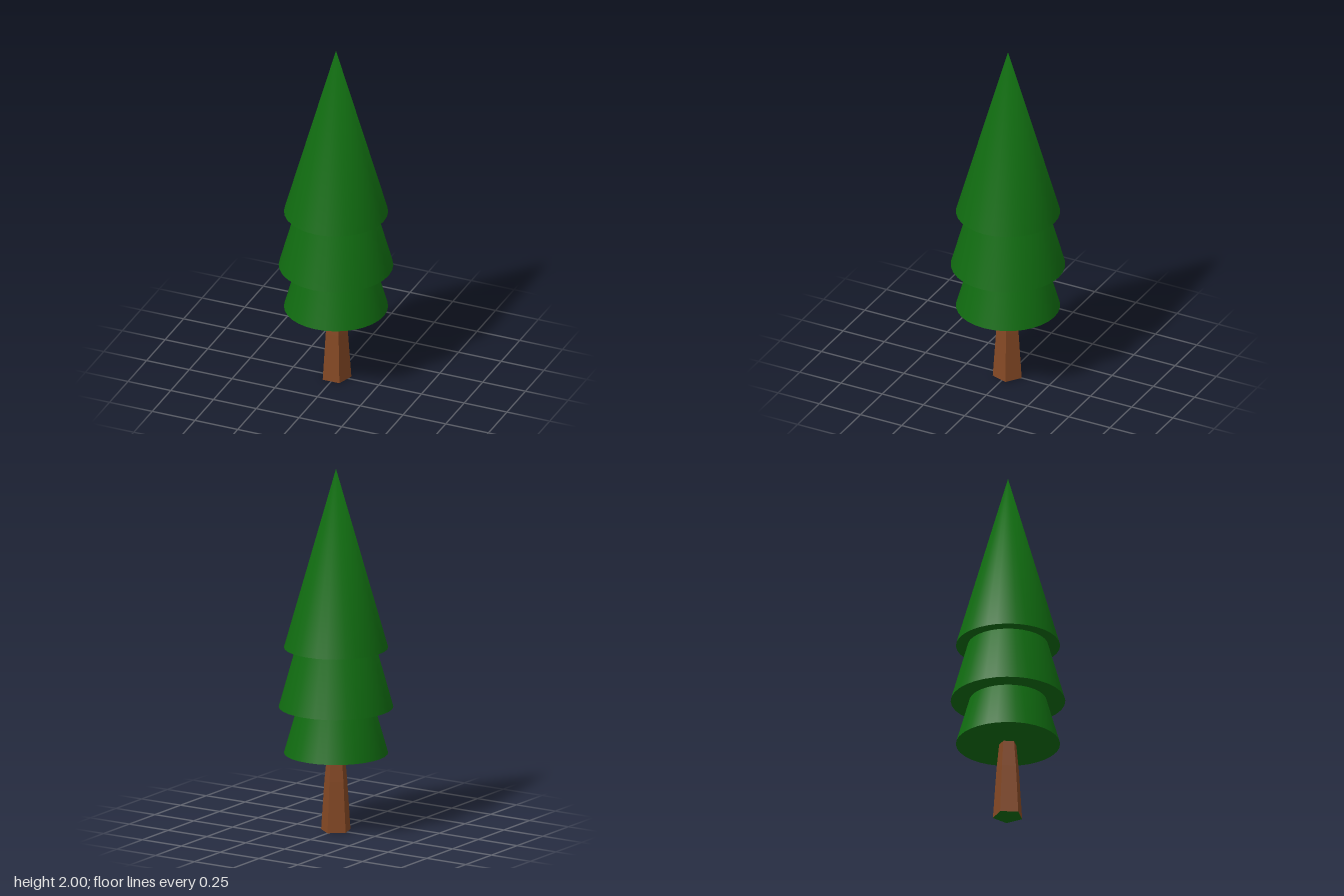
import * as THREE from 'three';

const green = new THREE.MeshStandardMaterial({ color: 0x106a10 });
green.name = 'needle green';
const brown = new THREE.MeshStandardMaterial({ color: 0x844824 });
brown.name = 'bark brown';

// Cone with a closed base; the tip normals point straight up for a rounded shade
function createTier(name, radius, baseY, height) {
  const geometry = new THREE.ConeGeometry(radius, height, 32);
  const { position, normal } = geometry.attributes;
  for (let i = 0; i < position.count; i++) {
    if (position.getY(i) > height / 2 - 1e-4) normal.setXYZ(i, 0, 1, 0);
  }
  const tier = new THREE.Mesh(geometry, green);
  tier.name = name;
  tier.position.y = baseY + height / 2;
  return tier;
}

// Five-sided, flat-faced trunk that narrows faster near the top
function createTrunk() {
  const trunk = new THREE.Group();
  trunk.name = 'trunk';
  const profile = [[0.083, 0], [0.064, 0.28], [0.048, 0.44]].map(([r, y]) => new THREE.Vector2(r, y));
  const sides = new THREE.LatheGeometry(profile, 5, Math.PI).toNonIndexed();
  sides.computeVertexNormals();
  const bark = new THREE.Mesh(sides, brown);
  bark.name = 'bark';

  const foot = new THREE.Mesh(new THREE.CircleGeometry(0.083, 5, -Math.PI / 2), green);
  foot.name = 'trunkFoot';
  foot.rotation.x = Math.PI / 2;
  trunk.add(bark, foot);
  return trunk;
}

export function createModel() {
  const tree = new THREE.Group();
  tree.name = 'pineTree';
  tree.add(
    createTrunk(),
    createTier('lowerTier', 0.28, 0.43, 0.985),
    createTier('middleTier', 0.308, 0.685, 1.1),
    createTier('upperTier', 0.28, 1.013, 0.987),
  );
  return tree;
}
